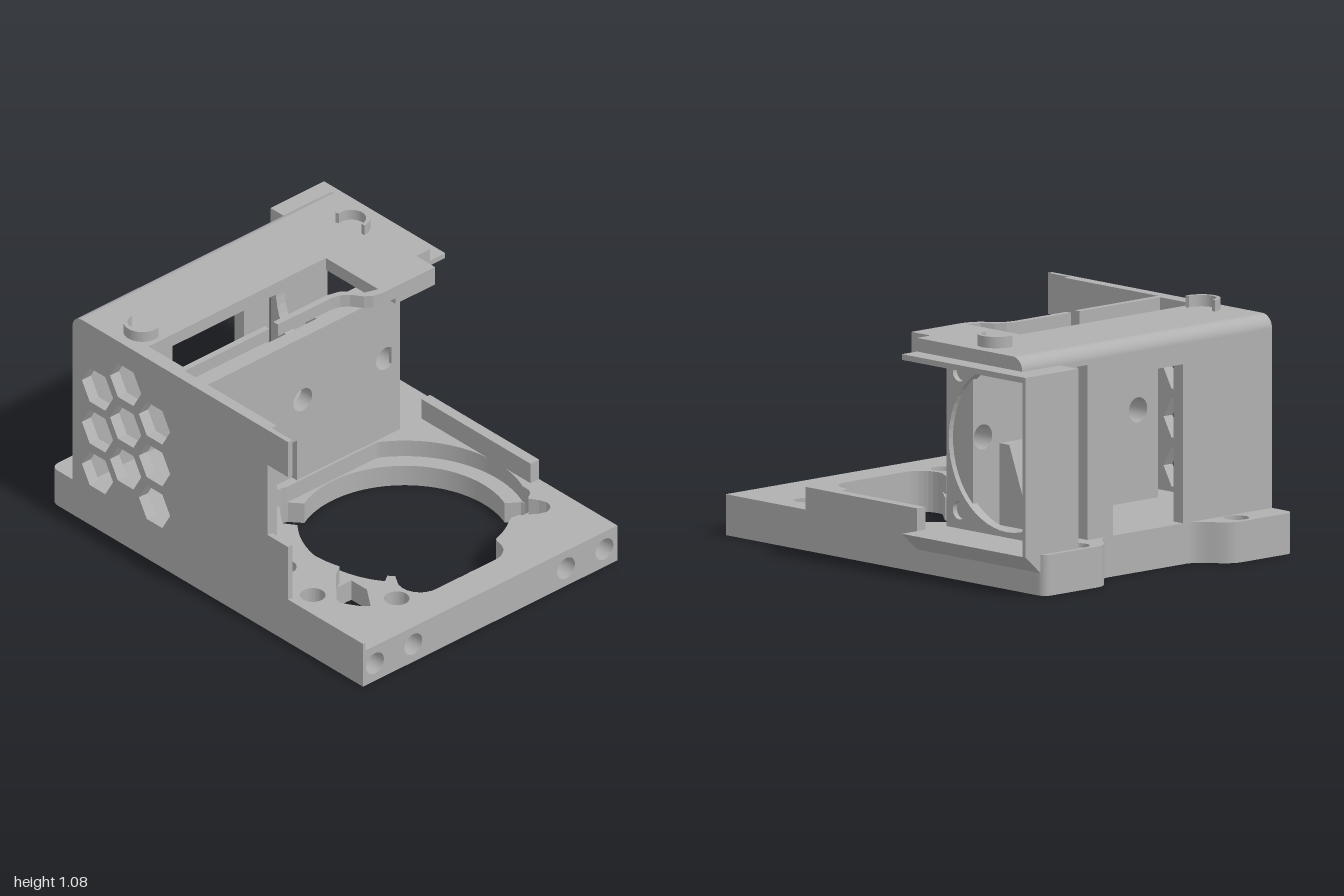
import * as THREE from 'three';

const grey = new THREE.MeshStandardMaterial({ color: 0xb0b0b0 });
grey.name = 'plastic grey';

// Closed outline from points, with optional holes (paths)
function outline(points, holes = []) {
  const s = new THREE.Shape(points.map(([a, b]) => new THREE.Vector2(a, b)));
  s.holes.push(...holes);
  return s;
}
const rectPoints = (a0, b0, a1, b1) => [[a0, b0], [a1, b0], [a1, b1], [a0, b1]];
const polyHole = (points) => new THREE.Path(points.map(([a, b]) => new THREE.Vector2(a, b)));
function roundHole(a, b, r) {
  const p = new THREE.Path();
  p.absarc(a, b, r, 0, Math.PI * 2, true);
  return p;
}
function hexPoints(a, b, r) {
  return Array.from({ length: 6 }, (_, i) => [a + r * Math.cos(i * Math.PI / 3), b + r * Math.sin(i * Math.PI / 3)]);
}
const extrude = (shape, depth) =>
  new THREE.ExtrudeGeometry(shape, { depth, bevelEnabled: false, curveSegments: 28 });

// Opening outline: farthest reach of a region along rays from the centre
const CX = 0.113, CZ = 0.28;
function reachOutline(inside) {
  const pts = [];
  for (let i = 0; i < 200; i++) {
    const t = i / 200 * Math.PI * 2, c = Math.cos(t), s = Math.sin(t);
    let r = 0.8;
    while (r > 0.4 && !inside(CX + r * c, CZ + r * s)) r -= 0.001;
    pts.push([CX + r * c, CZ + r * s]);
  }
  return pts;
}
const near = (x, z, a, b, r) => Math.hypot(x - a, z - b) < r;
const cablePocket = [[-0.45, 0.455], [-0.36, 0.455], [-0.36, 0.555], [-0.51, 0.765], [-0.63, 0.655]];
// Round-ended slot at the front of the opening
function inSlot(x, z) {
  const dx = Math.max(-0.22 - x, 0, x - 0.13);
  return Math.hypot(dx, z - 0.743) < 0.102;
}
const inOpening = (x, z) => near(x, z, CX, CZ, 0.463) || inSlot(x, z) ||
  near(x, z, -0.19, -0.11, 0.09) || near(x, z, 0.555, 0.52, 0.055);
function inPolygon(x, z, poly) {
  let odd = false;
  poly.forEach(([ax, az], i) => {
    const [bx, bz] = poly[(i + 1) % poly.length];
    if ((az > z) !== (bz > z) && x < (bx - ax) * (z - az) / (bz - az) + ax) odd = !odd;
  });
  return odd;
}
const inRecess = (x, z) => inOpening(x, z) || inPolygon(x, z, cablePocket) ||
  near(x, z, 0.545, 0.66, 0.055) || (near(x, z, CX, CZ, 0.54) && z < 0.65 && z > -0.19);

export function createModel() {
  const model = new THREE.Group();
  function add(name, geometry) {
    const m = new THREE.Mesh(geometry, grey);
    m.name = name;
    model.add(m);
    return m;
  }
  // Prisms along each axis: Y takes (x, z), X takes (z, y), Z takes (x, y)
  const prismY = (name, shape, y0, y1) =>
    add(name, extrude(shape, y1 - y0).rotateX(Math.PI / 2).translate(0, y1, 0));
  const prismX = (name, shape, x0, x1) =>
    add(name, extrude(shape, x1 - x0).rotateY(-Math.PI / 2).translate(x1, 0, 0));
  const prismZ = (name, shape, z0, z1) =>
    add(name, extrude(shape, z1 - z0).translate(0, 0, z0));
  const box = (name, x0, x1, y0, y1, z0, z1) =>
    add(name, new THREE.BoxGeometry(x1 - x0, y1 - y0, z1 - z0)
      .translate((x0 + x1) / 2, (y0 + y1) / 2, (z0 + z1) / 2));

  // Base slab with two rounded mounting tabs, in three layers
  const slab = new THREE.Shape();
  slab.moveTo(-0.79, 0.92);
  slab.lineTo(-0.79, -0.95);
  slab.quadraticCurveTo(-0.79, -1, -0.74, -1);
  slab.lineTo(-0.48, -1);
  slab.bezierCurveTo(-0.38, -1, -0.37, -0.87, -0.28, -0.86);
  slab.lineTo(0.19, -0.86);
  slab.bezierCurveTo(0.28, -0.87, 0.29, -1, 0.39, -1);
  slab.lineTo(0.65, -1);
  slab.quadraticCurveTo(0.7, -1, 0.7, -0.95);
  slab.lineTo(0.7, 0.92);
  const screws = [[-0.585, 0.27, 0.055], [-0.645, 0.52, 0.055], [-0.395, 0.785, 0.055],
    [-0.52, -0.92, 0.055], [0.43, -0.92, 0.055], [-0.13, -0.325, 0.045], [0.04, -0.325, 0.045]];
  function slabLayer(name, y0, y1, extra) {
    const s = slab.clone();
    s.holes = [...screws.map((h) => roundHole(...h)), ...extra.map(polyHole)];
    prismY(name, s, y0, y1);
  }
  const opening = reachOutline(inOpening);
  const lowerHoles = [opening, cablePocket, hexPoints(0.545, 0.66, 0.054)];
  slabLayer('baseUnderside', 0, 0.05, [...lowerHoles, rectPoints(-0.74, -0.8, 0.65, -0.62)]);
  slabLayer('baseMiddle', 0.05, 0.1, lowerHoles);
  slabLayer('baseTop', 0.1, 0.18, [reachOutline(inRecess)]);

  // Front bar with rod sockets, and low side rims
  prismZ('frontBar', outline(rectPoints(-0.79, 0, 0.7, 0.18),
    [-0.72, -0.495, 0.4, 0.625].map((x) => roundHole(x, 0.09, 0.052))), 0.92, 1);
  box('rightRim', -0.79, -0.775, 0.18, 0.22, 0.39, 1);
  box('leftRim', 0.65, 0.7, 0.18, 0.28, -0.2, 0.5);

  // Side wall with a honeycomb vent and two front tabs
  const hexes = [];
  for (const [z, top] of [[-0.335, 0.72], [-0.52, 0.83], [-0.7, 0.72]])
    for (let i = 0; i < 3; i++) hexes.push(polyHole(hexPoints(z, top - i * 0.215, 0.1)));
  prismX('ventWall', outline([[-0.86, 0.18], [0.39, 0.18], [0.39, 1.03], [-0.8, 1.03],
    [-0.83, 1.02], [-0.852, 1], [-0.86, 0.97]], hexes), -0.79, -0.737);
  box('lowerWallTab', -0.79, -0.765, 0.18, 0.49, 0.39, 0.52);
  box('upperWallTab', -0.79, -0.765, 0.85, 1.03, 0.39, 0.52);

  // Back wall with two windows and a post between them
  prismZ('backWall', outline([[-0.74, 0.18], [-0.26, 0.18], [-0.26, 0.88], [0.16, 0.88], [0.16, 0.18],
    [0.31, 0.18], [0.31, 0.95], [0.7, 0.95], [0.7, 0.97], [-0.74, 0.97]]), -0.86, -0.8);

  // Roof with cable slot, S-shaped front lip and rounded back edge
  prismY('roof', outline([[-0.79, -0.8], [0.7, -0.8], [0.7, -0.2], [0.62, -0.2], [0.62, -0.08],
    [0.32, -0.08], [0.27, -0.09], [0.235, -0.115], [0.2, -0.165], [0.165, -0.19], [0.12, -0.2],
    [-0.19, -0.2], [-0.19, -0.23], [0.12, -0.23], [0.18, -0.215], [0.22, -0.185], [0.26, -0.135],
    [0.32, -0.115], [0.32, -0.45], [-0.72, -0.45], [-0.72, -0.23], [-0.24, -0.23],
    [-0.24, -0.2], [-0.79, -0.2]]), 0.97, 1.03);
  const edge = new THREE.Shape();
  edge.moveTo(-0.8, 0.97);
  edge.lineTo(-0.8, 1.03);
  edge.absarc(-0.8, 0.97, 0.06, Math.PI / 2, Math.PI, false);
  prismX('roofBackEdge', edge, -0.79, 0.7);
  box('roofLip', 0.39, 0.62, 0.94, 0.97, -0.2, -0.08);

  // Curved clips on the roof
  for (const [name, x, start] of [['rightClip', -0.66, 1.3], ['leftClip', 0.565, -1.84]]) {
    const c = new THREE.Shape();
    const end = start + 3.4;
    c.absarc(x, -0.555, 0.082, start, end, false);
    c.absarc(x, -0.555, 0.064, end, start, true);
    prismY(name, c, 1.03, 1.08);
  }

  // Fan mount: drilled plate, thin roof, back wall and supporting wedge
  prismX('fanPlate', outline(rectPoints(-0.975, 0.18, -0.2, 0.95), [roundHole(-0.578, 0.567, 0.363),
    ...[-0.28, -0.88].flatMap((z) => [0.26, 0.867].map((y) => roundHole(z, y, 0.04)))]), 0.475, 0.525);
  box('fanRoof', 0.475, 0.79, 0.945, 0.97, -0.975, -0.2);
  box('fanBackWall', 0.475, 0.79, 0.18, 0.97, -0.975, -0.955);
  prismZ('fanWedge', outline([[0.7, 0.1], [0.79, 0.18], [0.7, 0.18]]), -0.975, -0.2);

  // Inner panel in layers: notched face, core and two thick backs
  const panelHoles = () => [-0.485, -0.045, 0.44].map((x) => roundHole(x, 0.58, 0.055));
  const right = 0.5;
  prismZ('panelFace', outline([[-0.605, 0.18], [-0.23, 0.18], [-0.23, 0.385], [-0.08, 0.385], [-0.08, 0.18],
    [right, 0.18], [right, 0.9], [-0.605, 0.9]], panelHoles()), -0.23, -0.2);
  prismZ('panelCore', outline(rectPoints(-0.605, 0.18, right, 0.9), panelHoles()), -0.27, -0.23);
  prismZ('panelBackRight', outline(rectPoints(-0.605, 0.18, -0.19, 0.9), [roundHole(-0.485, 0.58, 0.055)]), -0.34, -0.27);
  prismZ('panelBackLeft', outline(rectPoints(0.1, 0.18, right, 0.9), [roundHole(0.44, 0.58, 0.055)]), -0.34, -0.27);

  // Sloping brace behind the panel
  prismX('panelBrace', outline([[-0.54, 0.18], [-0.34, 0.18], [-0.34, 0.54], [-0.4, 0.54]]), 0.2, 0.34);

  return model;
}
